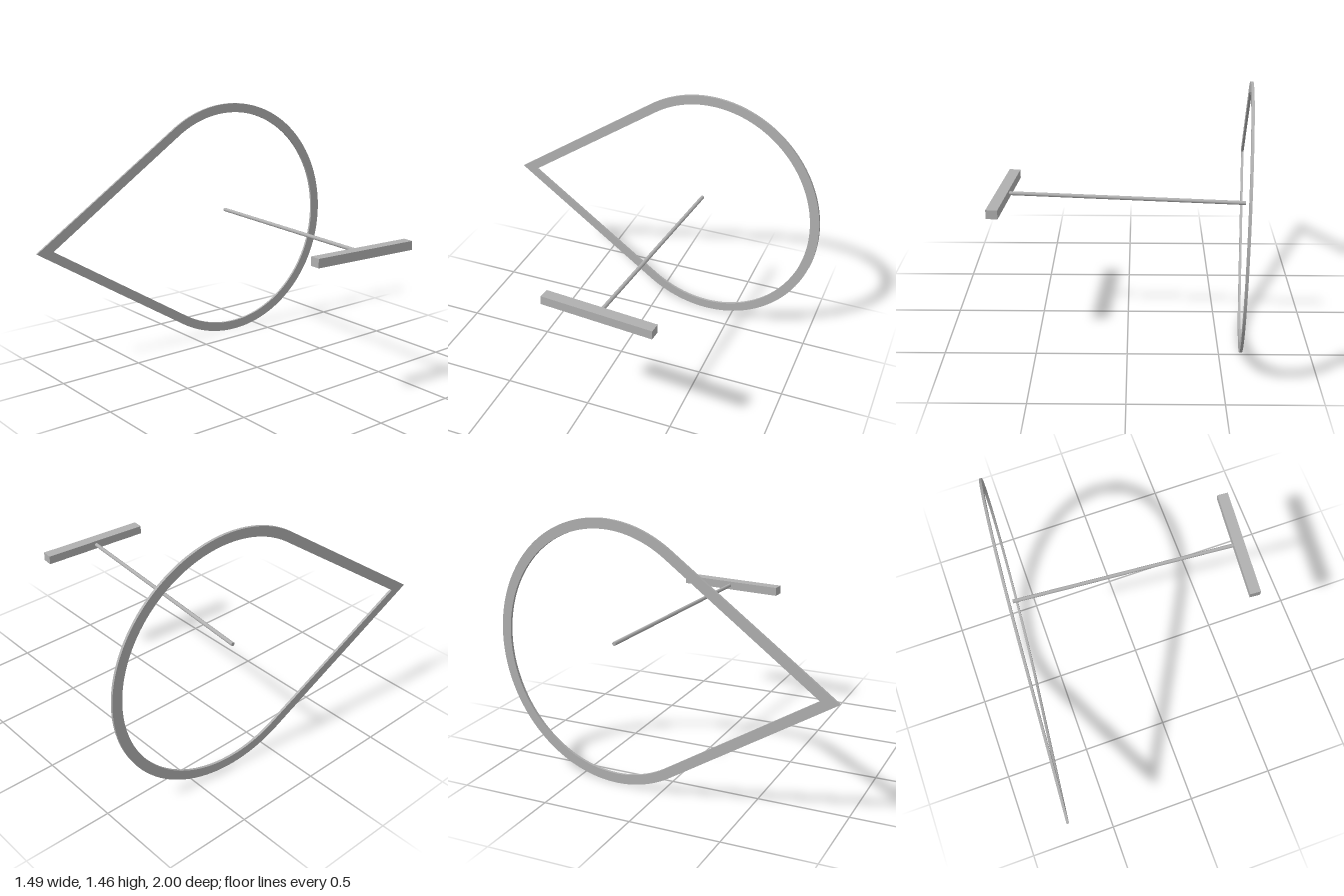
import * as THREE from 'three';

const metal = new THREE.MeshStandardMaterial({ color: 0xb0b0b0 });
metal.name = 'grey metal';

// Teardrop outline: an elliptical arc closed by two tangents that meet at a tip
function teardrop(path, a, b, tipX, tipY) {
  const u = tipX / a, v = tipY / b;
  const middle = Math.atan2(v, u);
  const spread = Math.acos(1 / Math.hypot(u, v));
  path.moveTo(tipX, tipY);
  path.lineTo(a * Math.cos(middle + spread), b * Math.sin(middle + spread));
  path.absellipse(0, 0, a, b, middle + spread, middle - spread + Math.PI * 2, false, 0);
  path.lineTo(tipX, tipY);
  return path;
}

export function createModel() {
  const model = new THREE.Group();
  model.name = 'model';

  // Slightly turned assembly, with its origin at the centre of the loop
  const assembly = new THREE.Group();
  assembly.name = 'assembly';
  assembly.position.set(-0.637, 0.732, -0.3);
  assembly.rotation.set(0, -0.08, 0.009);
  model.add(assembly);

  const add = (name, geometry, x, y, z) => {
    const mesh = new THREE.Mesh(geometry, metal);
    mesh.name = name;
    mesh.position.set(x, y, z);
    assembly.add(mesh);
    return mesh;
  };

  // Flat teardrop loop, standing in the local yz plane
  const thickness = 0.014;
  const outline = teardrop(new THREE.Shape(), 0.702, 0.731, 1.304, -0.029);
  outline.holes.push(teardrop(new THREE.Path(), 0.646, 0.676, 1.203, -0.029));
  const loop = new THREE.ExtrudeGeometry(outline, {
    depth: thickness, bevelEnabled: false, curveSegments: 64,
  });
  loop.translate(0, 0, -thickness / 2);
  loop.rotateY(-Math.PI / 2);
  add('teardropLoop', loop, 0, 0, 0);

  // Thin rod from the loop's plane to the crossbar
  const rodLength = 1.3;
  const rod = new THREE.CylinderGeometry(0.011, 0.011, rodLength, 12);
  rod.rotateZ(-Math.PI / 2);
  add('rod', rod, rodLength / 2, 0.068, 0.036);

  // Square crossbar at the end of the rod
  add('crossbar', new THREE.BoxGeometry(0.063, 0.05, 0.64), 1.329, 0.067, 0.037);

  return model;
}
